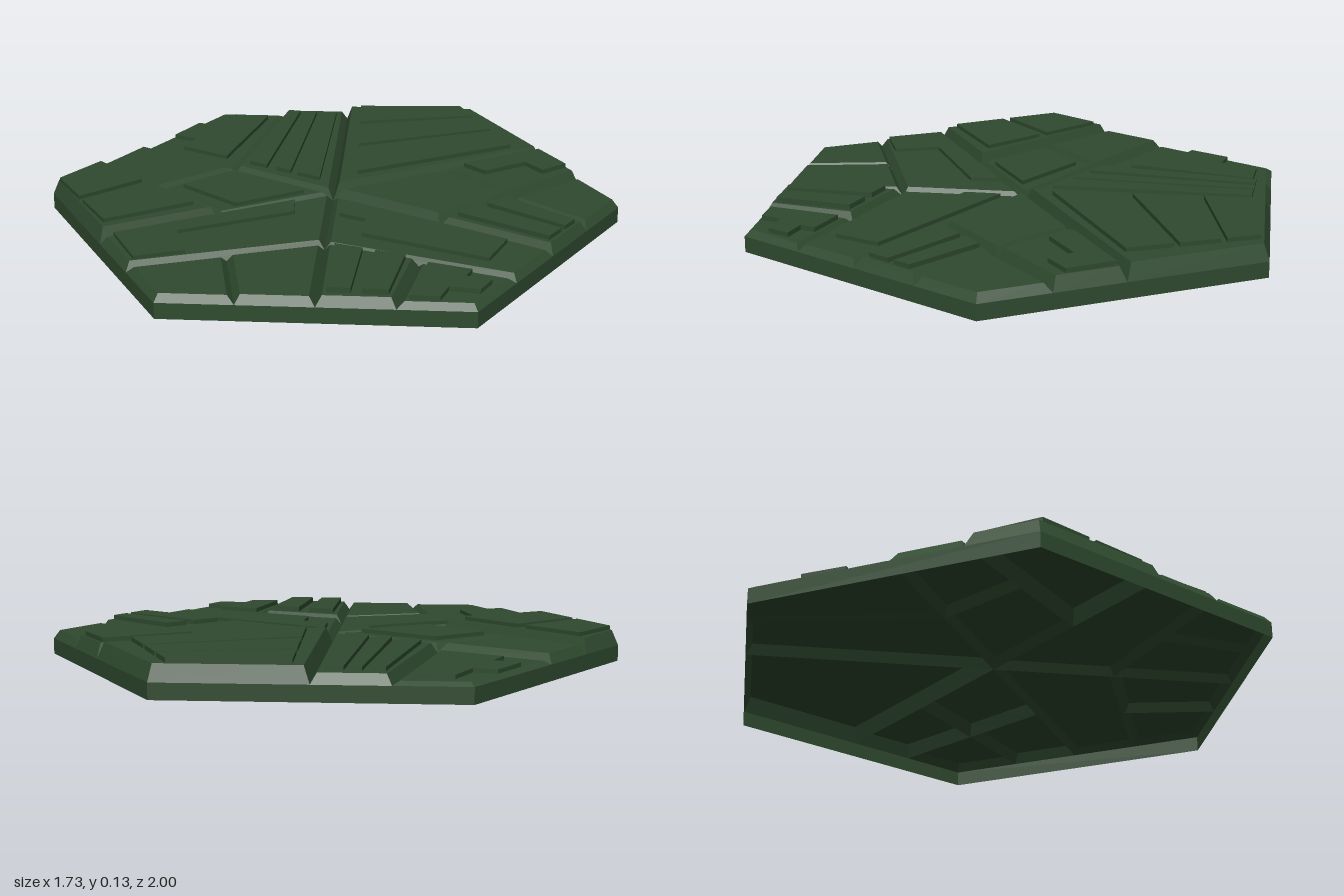
import * as THREE from 'three';

const RIM = 0.055; // height of the skirt and of the groove bottoms
const BEVEL = 0.02;
const material = new THREE.MeshStandardMaterial({ color: 0x2f4a2f, flatShading: true, side: THREE.DoubleSide });

// Plan points are Vector2(x, -z), so counter-clockwise means seen from above.
// Direction 0 is the front; angles in degrees turn towards +x.
function polar(degrees, radius) {
  const a = THREE.MathUtils.degToRad(degrees);
  return new THREE.Vector2(Math.sin(a) * radius, -Math.cos(a) * radius);
}

// Sextant k is a kite: centre, side midpoint, corner k, side midpoint.
// s runs from the centre along its first midpoint, t along its second.
function kitePoint(k, s, t) {
  const middle = Math.cos(Math.PI / 6);
  return polar(k * 60 - 30, middle * s * (1 - t))
    .add(polar(k * 60 + 30, middle * t * (1 - s)))
    .add(polar(k * 60, s * t));
}

// Move every edge inwards by d and meet neighbouring edges again
function inset(pts, d) {
  const n = pts.length;
  return pts.map((p, i) => {
    const a = p.clone().sub(pts[(i + n - 1) % n]).normalize();
    const b = pts[(i + 1) % n].clone().sub(p).normalize();
    const normals = new THREE.Vector2(-a.y - b.y, a.x + b.x);
    return p.clone().addScaledVector(normals, d / (1 + a.dot(b)));
  });
}

// Walls from a lower to an upper outline, with an optional flat top
function shell(name, low, y0, high, y1, capped = true) {
  const pos = [];
  const put = (p, y) => pos.push(p.x, y, -p.y);
  low.forEach((p, i) => {
    const j = (i + 1) % low.length;
    put(p, y0); put(low[j], y0); put(high[j], y1);
    put(p, y0); put(high[j], y1); put(high[i], y1);
  });
  if (capped) {
    for (const tri of THREE.ShapeUtils.triangulateShape(high, [])) tri.forEach((i) => put(high[i], y1));
  }
  const geometry = new THREE.BufferGeometry();
  geometry.setAttribute('position', new THREE.Float32BufferAttribute(pos, 3));
  geometry.computeVertexNormals();
  const mesh = new THREE.Mesh(geometry, material);
  mesh.name = name;
  return mesh;
}

// Outline of adjoining columns [u0, u1, v0, v1], which gives stepped edges
function steppedOutline(columns, place) {
  const lower = columns.flatMap(([u0, u1, v0]) => [[u0, v0], [u1, v0]]);
  const upper = columns.flatMap(([u0, u1, , v1]) => [[u0, v1], [u1, v1]]).reverse();
  const ring = [...lower, ...upper];
  // drop doubled corners where neighbouring columns share an edge height
  const corners = ring.filter(([u, v], i) => {
    const [pu, pv] = ring[(i + ring.length - 1) % ring.length];
    return u !== pu || v !== pv;
  });
  const pts = corners.map(([u, v]) => place(u, v));
  return THREE.ShapeUtils.isClockWise(pts) ? pts.reverse() : pts;
}

// Parallel panels that share one length u0..u1
const strips = (u0, u1, ...bands) => bands.map(([v0, v1]) => [[u0, u1, v0, v1]]);

// A bevelled plate over part of a sextant, with raised panels in plate coordinates
function plate(name, k, [s0, s1, t0, t1], height, thickness = 0, panels = []) {
  const group = new THREE.Group();
  group.name = name;
  const place = (u, v) => kitePoint(k, s0 + (s1 - s0) * u, t0 + (t1 - t0) * v);
  const edge = steppedOutline([[0, 1, 0, 1]], place);
  group.add(shell('plate', edge, RIM, inset(edge, BEVEL), height));
  for (const columns of panels) {
    const ring = steppedOutline(columns, place);
    group.add(shell('raisedPanel', ring, height, ring, height + thickness));
  }
  return group;
}

export function createModel() {
  const model = new THREE.Group();
  model.name = 'hexagonalTile';

  // Upright skirt, open underneath
  const rim = Array.from({ length: 6 }, (_, k) => polar(k * 60, 1));
  model.add(shell('skirt', rim, 0, rim, RIM, false));

  // Plates fill whole, half or quarter sextants and meet in V-shaped grooves
  const whole = [0, 1, 0, 1], innerS = [0, 0.5, 0, 1], innerT = [0, 1, 0, 0.5], outerT = [0, 1, 0.5, 1];
  const centre = [0, 0.5, 0, 0.5], first = [0.5, 1, 0, 0.5], second = [0, 0.5, 0.5, 1], corner = [0.5, 1, 0.5, 1];

  // Front sextant
  model.add(
    plate('frontPlate', 0, innerS, 0.08, 0.014, [[[0.13, 0.43, 0.05, 0.82], [0.43, 0.74, 0.18, 0.82]]]),
    plate('frontStripPlate', 0, first, 0.088, 0.018, strips(0.1, 0.9, [0.12, 0.42], [0.56, 0.88])),
    plate('frontTipPlate', 0, corner, 0.076, 0.016,
      [[[0.1, 0.3, 0.12, 0.58], [0.3, 0.63, 0.12, 0.86], [0.63, 0.9, 0.12, 0.5]]]),
  );

  // Front sextant on the +x side
  model.add(
    plate('frontLeftCentrePlate', 1, centre, 0.1),
    plate('frontLeftSidePlate', 1, second, 0.104, 0.016, [[[0.1, 0.43, 0.17, 0.93], [0.43, 0.78, 0.62, 0.93]]]),
    plate('frontLeftStripPlate', 1, first, 0.092, 0.016, strips(0.08, 0.92, [0.14, 0.46], [0.56, 0.82])),
    plate('frontLeftCornerPlate', 1, corner, 0.085),
  );

  // Back sextant on the +x side
  model.add(plate('backLeftPlate', 2, whole, 0.112, 0.015,
    strips(0.11, 0.87, [0.08, 0.38], [0.42, 0.68], [0.72, 0.94])));

  // Back sextant
  model.add(
    plate('backStripPlate', 3, innerT, 0.09, 0.014, strips(0.08, 0.92, [0.15, 0.38], [0.45, 0.6], [0.7, 0.88])),
    plate('backTipPlate', 3, outerT, 0.068, 0.014,
      [[[0.15, 0.32, 0.18, 0.67], [0.32, 0.63, 0.18, 0.93], [0.63, 0.89, 0.18, 0.67]]]),
  );

  // Back sextant on the -x side
  model.add(
    plate('backRightCentrePlate', 4, centre, 0.086, 0.014, strips(0.1, 0.85, [0.18, 0.8])),
    plate('backRightInnerPlate', 4, first, 0.088),
    plate('backRightSidePlate', 4, outerT, 0.108, 0.014,
      [[[0.1, 0.49, 0.12, 0.92]], [[0.55, 0.93, 0.12, 0.92]]]),
  );

  // Front sextant on the -x side
  model.add(
    plate('frontRightSidePlate', 5, innerT, 0.086, 0.013, [[[0.17, 0.7, 0.08, 0.34], [0.7, 0.95, 0.08, 0.9]]]),
    plate('frontRightInnerPlate', 5, second, 0.084),
    plate('frontRightCornerPlate', 5, corner, 0.08),
  );
  return model;
}
